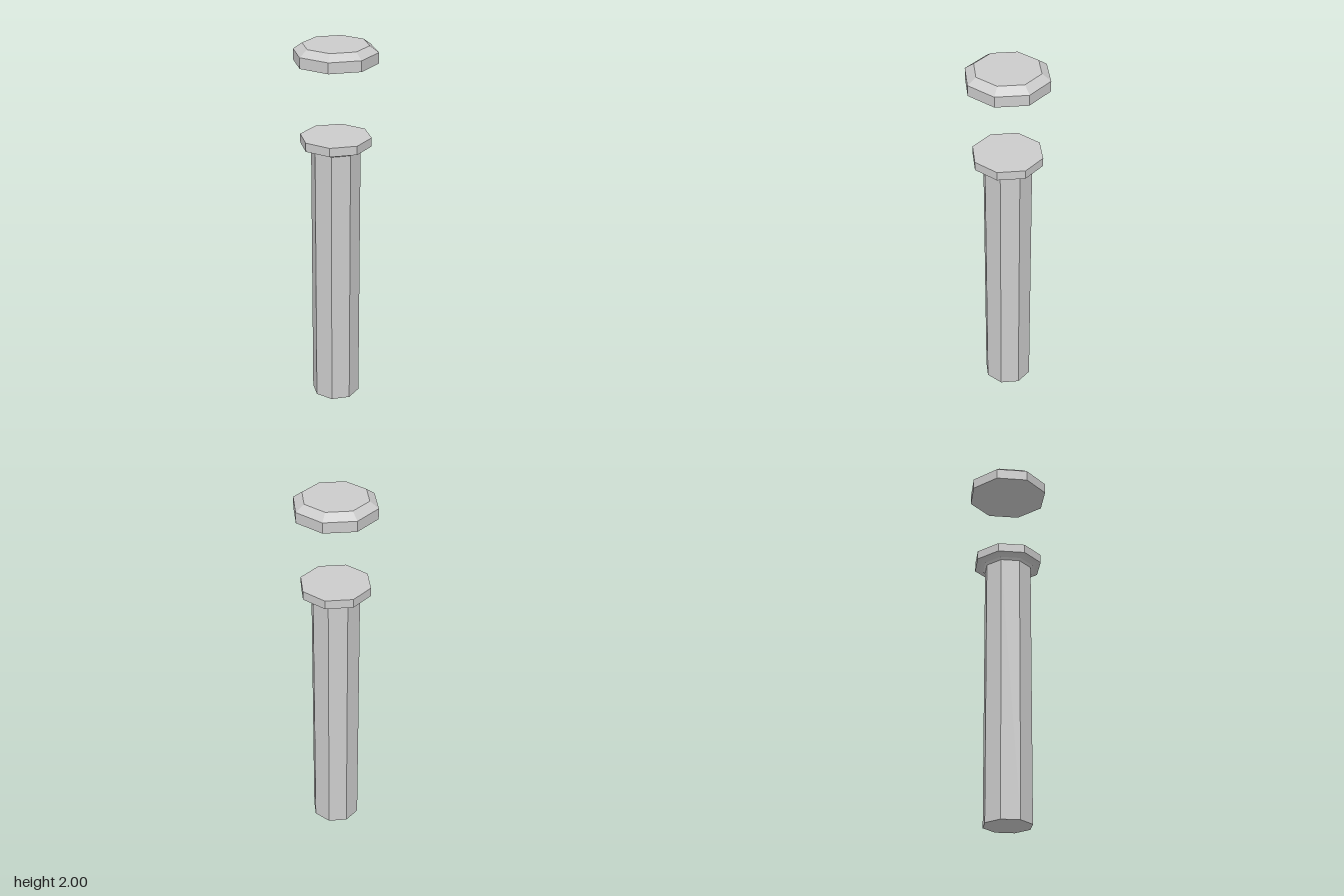
import * as THREE from 'three';

const SIDES = 8;
const material = new THREE.MeshStandardMaterial({ color: 0xcccccc, flatShading: true });

// Closed eight-sided solid from [radius, height] pairs listed bottom to top
function octagonalPart(name, profile) {
  const points = [[0, profile[0][1]], ...profile, [0, profile[profile.length - 1][1]]]
    .map(([r, y]) => new THREE.Vector2(r, y));
  const mesh = new THREE.Mesh(new THREE.LatheGeometry(points, SIDES), material);
  mesh.name = name;
  return mesh;
}

export function createModel() {
  const model = new THREE.Group();
  model.name = 'lampPost';

  // Straight shaft, flaring in a shallow cove under a flat slab
  model.add(octagonalPart('shaft', [[0.13, 0], [0.13, 1.445]]));
  model.add(octagonalPart('collar', [
    [0.13, 1.445], [0.14, 1.457], [0.16, 1.466], [0.187, 1.468], [0.187, 1.515],
  ]));

  // Bevelled cap floating above the post
  model.add(octagonalPart('cap', [[0.218, 1.91], [0.218, 1.967], [0.172, 2]]));

  return model;
}
